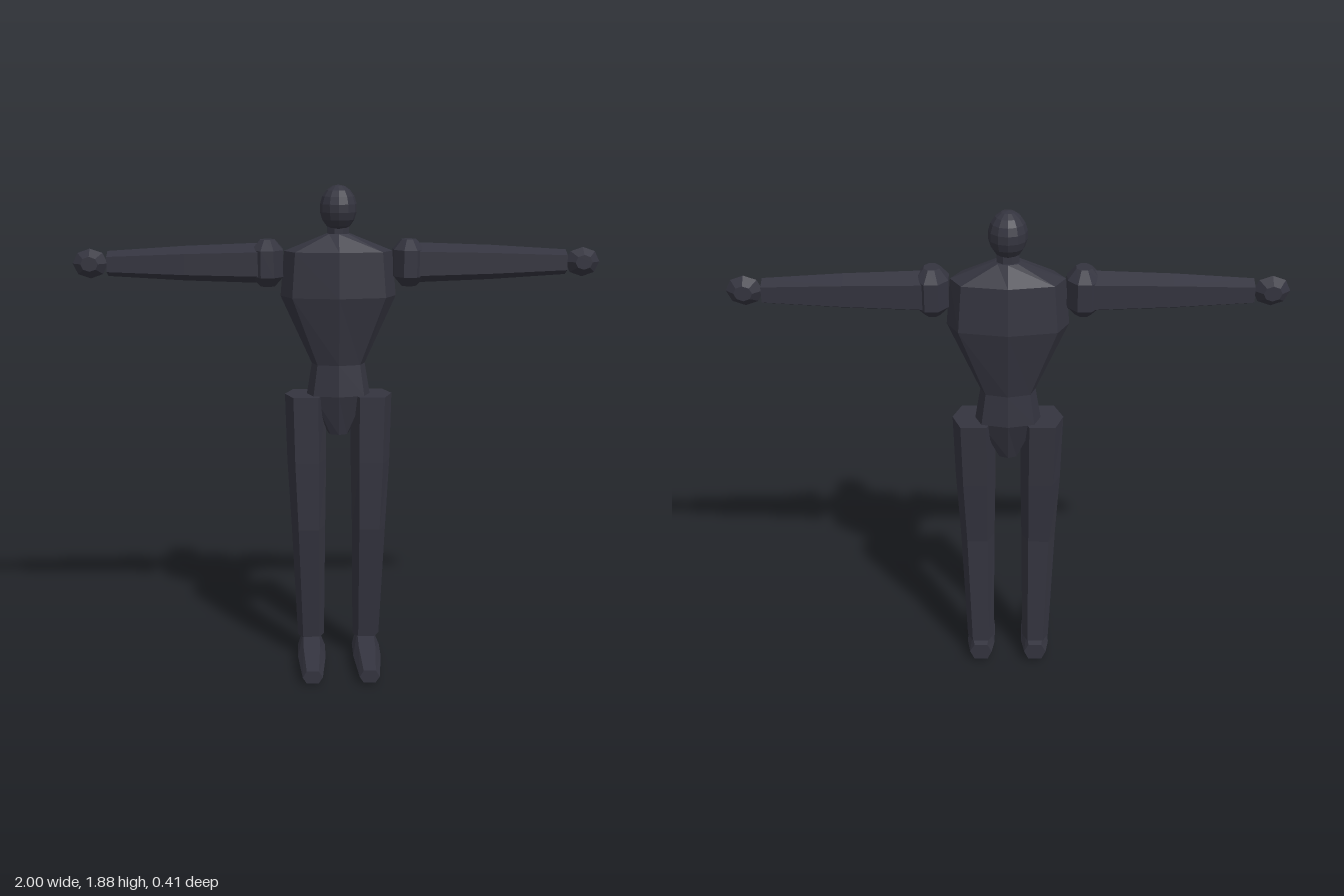
import * as THREE from 'three';

const charcoal = new THREE.MeshStandardMaterial({ color: 0x34343f });
charcoal.name = 'charcoal';

// Faceted mesh: every face gets its own normal
function facet(name, geometry) {
  const g = geometry.index ? geometry.toNonIndexed() : geometry;
  g.computeVertexNormals();
  const mesh = new THREE.Mesh(g, charcoal);
  mesh.name = name;
  return mesh;
}

// Skin between equal-length rings of points, capped at both ends, faces outward
function loft(name, rings) {
  const tris = [], n = rings[0].length;
  for (let r = 0; r < rings.length - 1; r++) {
    for (let i = 0; i < n; i++) {
      const j = (i + 1) % n, a = rings[r], b = rings[r + 1];
      tris.push([a[i], a[j], b[j]], [a[i], b[j], b[i]]);
    }
  }
  const last = rings[rings.length - 1];
  for (let i = 1; i < n - 1; i++) {
    tris.push([rings[0][0], rings[0][i + 1], rings[0][i]], [last[0], last[i], last[i + 1]]);
  }
  const v = tris.map(t => t.map(p => new THREE.Vector3(...p)));
  let volume = 0;
  for (const [a, b, c] of v) volume += a.dot(b.clone().cross(c));
  if (volume < 0) v.forEach(t => t.reverse());
  return facet(name, new THREE.BufferGeometry().setFromPoints(v.flat()));
}

// Unit cross-sections
const hexagon = [[1, 0], [0.6, 1], [-0.6, 1], [-1, 0], [-0.6, -1], [0.6, -1]];
const octagon = [[1, 0], [0.8, 0.72], [0, 1], [-0.8, 0.72], [-1, 0], [-0.8, -0.72], [0, -1], [0.8, -0.72]];
const round = Array.from({ length: 8 }, (_, i) => {
  const a = (i + 0.5) * Math.PI / 4;
  return [Math.cos(a), Math.sin(a)];
});

// Horizontal ring: height, centre x, half width, front z, back z
const level = (shape, y, cx, w, zf, zb) =>
  shape.map(([u, v]) => [cx + u * w, y, (zf + zb) / 2 + v * (zf - zb) / 2]);

export function createModel() {
  const model = new THREE.Group();
  model.name = 'mannequin';

  // Head and neck
  const head = facet('head', new THREE.SphereGeometry(1, 12, 9).scale(0.07, 0.086, 0.078));
  head.position.set(0, 1.8, -0.072);
  model.add(head);
  model.add(loft('neck', [
    level(round, 1.67, 0, 0.044, -0.035, -0.12),
    level(round, 1.76, 0, 0.042, -0.035, -0.115),
  ]));

  // Torso from crotch to neck base
  model.add(loft('torso', [
    [0.935, 0.04, -0.03, -0.12],
    [1.09, 0.122, 0.005, -0.17],
    [1.21, 0.102, -0.005, -0.16],
    [1.47, 0.22, 0.04, -0.205],
    [1.64, 0.205, 0.03, -0.19],
    [1.705, 0.045, -0.03, -0.125],
  ].map(([y, w, zf, zb]) => level(octagon, y, 0, w, zf, zb))));

  for (const s of [1, -1]) {
    const side = s > 0 ? 'left' : 'right';

    // Leg with a slight bend at the knee
    model.add(loft(side + 'Leg', [
      [1.09, 0.127, 0.08, 0.01, -0.17],
      [0.83, 0.124, 0.076, 0.01, -0.148],
      [0.56, 0.119, 0.066, 0.003, -0.122],
      [0.09, 0.111, 0.053, -0.05, -0.138],
    ].map(([y, cx, w, zf, zb]) => level(hexagon, y, s * cx, w, zf, zb))));

    // Foot: z, half width, low, widest and top heights
    model.add(loft(side + 'Foot', [
      [-0.155, 0.044, 0.01, 0.048, 0.08],
      [-0.085, 0.055, 0.004, 0.045, 0.098],
      [0.03, 0.055, 0.002, 0.042, 0.082],
      [0.205, 0.039, 0.006, 0.03, 0.055],
    ].map(([z, w, low, mid, top]) => hexagon.map(([u, v]) =>
      [s * 0.11 + u * w, v > 0 ? top : v < 0 ? low : mid, z]))));

    // Shoulder joint
    model.add(loft(side + 'Shoulder', [
      [1.508, 0.03, 0.04], [1.545, 0.064, 0.088], [1.645, 0.064, 0.088], [1.683, 0.03, 0.04],
    ].map(([y, w, d]) => level(round, y, s * 0.268, w, -0.08 + d, -0.08 - d))));

    // Arm: x, half height, half depth
    model.add(loft(side + 'Arm', [
      [0.26, 0.077, 0.07], [0.58, 0.065, 0.058], [0.868, 0.047, 0.043],
    ].map(([x, h, d]) => hexagon.map(([u, v]) => [s * x, 1.595 + u * h, -0.082 + v * d]))));

    // Hand, flattened front to back
    model.add(loft(side + 'Hand', [
      [-0.033, 0.5], [0, 1], [0.033, 0.5],
    ].map(([z, k]) => [0, 1, 2, 3, 4, 5, 6, 7].map(i => {
      const a = i * Math.PI / 4;
      return [s * 0.934 + 0.066 * k * Math.cos(a), 1.595 + 0.056 * k * Math.sin(a), -0.082 + z];
    }))));
  }
  return model;
}
